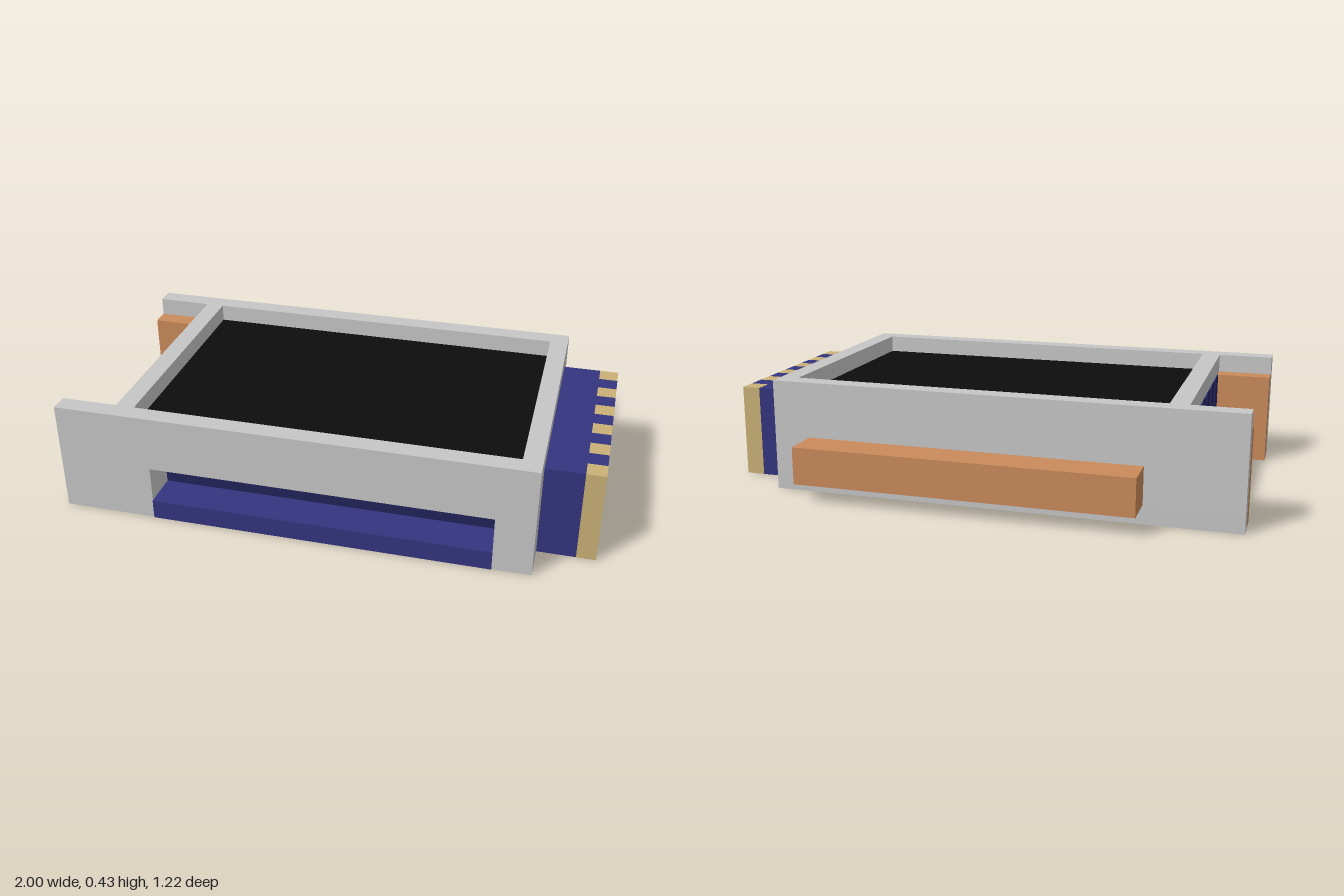
import * as THREE from 'three';

const U = 1 / 14; // module size: every dimension is a multiple of this
const SKIN = 0.004; // thickness of coloured plates

const paint = (name, color) => {
  const m = new THREE.MeshStandardMaterial({ color });
  m.name = name;
  return m;
};

export function createModel() {
  const model = new THREE.Group();
  model.name = 'connectableTile';

  const grey = paint('grey', 0xc6c6c6);
  const blue = paint('blue', 0x34347f);
  const darkBlue = paint('darkBlue', 0x222259);
  const gold = paint('gold', 0xc9b077);
  const copper = paint('copper', 0xc98a5a);
  const black = paint('black', 0x0d0d0d);

  // Box given by its two corners, in modules
  const box = (name, mat, [x0, y0, z0], [x1, y1, z1], parent = model) => {
    const geo = new THREE.BoxGeometry((x1 - x0) * U, (y1 - y0) * U, (z1 - z0) * U);
    const mesh = new THREE.Mesh(geo, mat);
    mesh.name = name;
    mesh.position.set((x0 + x1) * U / 2, (y0 + y1) * U / 2, (z0 + z1) * U / 2);
    parent.add(mesh);
    return mesh;
  };
  const group = (name) => {
    const g = new THREE.Group();
    g.name = name;
    model.add(g);
    return g;
  };
  const points = (list) => list.map(([x, z]) => new THREE.Vector2(x * U, -z * U));

  // Casing: horizontal slabs of the same plan, with the front slot and screen well cut out
  const casing = group('casing');
  const slab = (name, y0, y1, { slot = false, well = false } = {}) => {
    const front = slot ? [[-9, 8.5], [-9, 6.5], [9, 6.5], [9, 8.5]] : [];
    const shape = new THREE.Shape(points([
      [-14, 8.5], ...front, [11, 8.5], [11, -6.5], [-14, -6.5],
      [-14, -5.5], [-11, -5.5], [-11, 7.5], [-14, 7.5],
    ]));
    if (well) {
      shape.holes.push(new THREE.Path(points([[-10, -5.5], [10, -5.5], [10, 7.5], [-10, 7.5]])));
    }
    const geo = new THREE.ExtrudeGeometry(shape, { depth: (y1 - y0) * U, bevelEnabled: false });
    geo.rotateX(-Math.PI / 2);
    const mesh = new THREE.Mesh(geo, grey);
    mesh.name = name;
    mesh.position.y = y0 * U;
    casing.add(mesh);
  };
  slab('casingBase', 0, 1);
  slab('casingSlotLayer', 1, 3, { slot: true });
  slab('casingCore', 3, 5);
  slab('casingRim', 5, 6, { well: true });

  const s = SKIN / U;

  // Screen at the bottom of the well
  box('screen', black, [-10, 5, -5.5], [10, 5 + s, 7.5]);

  // Front slot: blue ledge and dark back
  const frontSlot = group('frontSlot');
  box('ledgeFront', blue, [-9, 0, 8.5], [9, 1 + s, 8.5 + s], frontSlot);
  box('ledgeTop', blue, [-9, 1, 6.5], [9, 1 + s, 8.5], frontSlot);
  box('slotBack', darkBlue, [-9, 1, 6.5], [9, 3, 6.5 + s], frontSlot);

  // Rail on the back that fits a front slot
  box('backRail', copper, [-9, 1, -8.5], [9, 3, -6.5]);

  // Guides on the inner side of the two wings
  for (const z of [-5.5, 6.5]) box('wingGuide', copper, [-14, 0, z], [-11, 5, z + 1]);

  // Plug on the +x side and matching striped socket on the -x side
  const plug = group('plug');
  const socket = group('socket');
  box('plugBody', blue, [11, 0, -4.5], [13, 5, 6.5], plug);
  for (let i = 0; i < 11; i++) {
    const z = -4.5 + i;
    const contact = i % 2 === 0;
    box(contact ? 'plugContact' : 'plugSpacer', contact ? gold : blue, [13, 0, z], [14, 5, z + 1], plug);
    box(contact ? 'socketContact' : 'socketSpacer', contact ? darkBlue : blue,
      [-11 - s, 0, z], [-11, 5, z + 1], socket);
  }

  return model;
}
